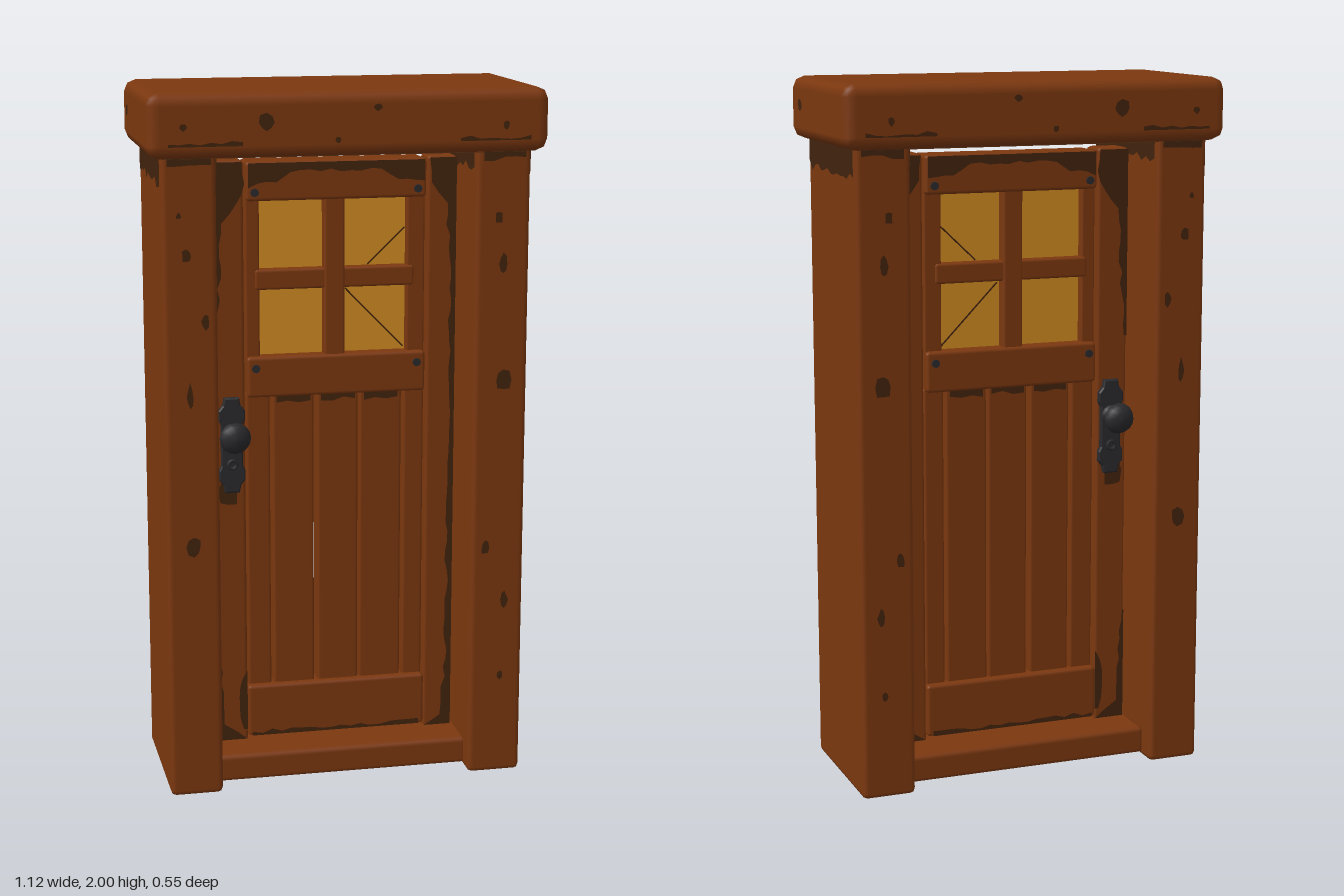
import * as THREE from 'three';
import { RoundedBoxGeometry } from 'three/addons/geometries/RoundedBoxGeometry.js';

export function createModel() {
  const root = new THREE.Group();
  root.name = 'woodenDoor';
  const mat = (name, color, side = THREE.FrontSide) => {
    const m = new THREE.MeshStandardMaterial({ color, side });
    m.name = name;
    return m;
  };
  const wood = mat('wood', 0x7c380f);
  const grime = mat('grime', 0x42230d, THREE.DoubleSide);
  const glass = mat('amberGlass', 0xd48c22);
  const iron = mat('iron', 0x2a2a2d);

  let seed = 7;
  const rand = () => (seed = (seed * 16807) % 2147483647) / 2147483647;

  function add(name, geometry, material, x = 0, y = 0, z = 0, parent = root) {
    const mesh = new THREE.Mesh(geometry, material);
    mesh.name = name;
    mesh.position.set(x, y, z);
    parent.add(mesh);
    return mesh;
  }
  // Worn timber given by its x and y limits, centred on z = 0
  function timber(name, x0, x1, y0, y1, halfZ, r, parent = root) {
    return add(name, new RoundedBoxGeometry(x1 - x0, y1 - y0, halfZ * 2, 1, r), wood,
      (x0 + x1) / 2, (y0 + y1) / 2, 0, parent);
  }
  // Irregular stain
  function blob(rx, ry) {
    const pts = [];
    for (let i = 0; i < 8; i++) {
      const a = (i / 8) * Math.PI * 2, k = 0.75 + rand() * 0.45;
      pts.push(new THREE.Vector2(Math.cos(a) * rx * k, Math.sin(a) * ry * k));
    }
    return new THREE.ShapeGeometry(new THREE.Shape(pts));
  }
  // Stain with one straight side on x = 0 and a ragged side; profile is [y, width]
  function edgeStain(profile, jitter = 0.012) {
    const pts = [new THREE.Vector2(0, profile[0][0])];
    for (let i = 0; i < profile.length - 1; i++) {
      const [y0, w0] = profile[i], [y1, w1] = profile[i + 1];
      const n = Math.max(1, Math.round(Math.abs(y1 - y0) / 0.03));
      for (let k = 0; k < n; k++) {
        const t = k / n;
        pts.push(new THREE.Vector2(Math.max(0.002, w0 + (w1 - w0) * t + (rand() - 0.5) * jitter), y0 + (y1 - y0) * t));
      }
    }
    const last = profile[profile.length - 1];
    pts.push(new THREE.Vector2(last[1], last[0]), new THREE.Vector2(0, last[0]));
    return new THREE.ShapeGeometry(new THREE.Shape(pts));
  }
  // The same stain on front and back
  function bothSides(name, geometry, x, y, z, flip = 1, parent = root) {
    for (const s of [1, -1]) add(name, geometry, grime, x, y, s * z, parent).scale.x = flip;
  }
  // Band hanging from a top edge
  const band = (w, d, jitter) => edgeStain([[-w / 2, d], [w / 2, d]], jitter).rotateZ(-Math.PI / 2);

  // Frame
  timber('leftPost', 0.36, 0.516, 0, 1.84, 0.226, 0.016);
  timber('rightPost', -0.516, -0.365, 0, 1.84, 0.226, 0.016);
  timber('lintel', -0.556, 0.556, 1.825, 2, 0.27, 0.034);
  timber('sill', -0.37, 0.37, 0.01, 0.09, 0.17, 0.014);

  // Dirt under the lintel and at the post tops
  add('lintelUnderside', new THREE.PlaneGeometry(1.02, 0.47).rotateX(Math.PI / 2), grime, 0, 1.823, 0);
  for (const s of [1, -1]) {
    for (const x of [0.518, 0.357]) {
      const m = add('postTopDirt', band(0.42, x > 0.5 ? 0.075 : 0.05, 0.03), grime, s * (s < 0 && x < 0.4 ? 0.362 : x), 1.826, 0);
      m.rotation.y = Math.PI / 2;
    }
    bothSides('postTopDirt', band(0.12, 0.02, 0.02), s * 0.44, 1.826, 0.228);
    bothSides('lintelEdgeDirt', band(0.2, 0.008, 0.014).rotateZ(Math.PI), s * 0.4, 1.859, 0.272);
  }

  // Scattered marks: x, y, half width, half height
  [[-0.45, 1.56, 0.014, 0.018], [-0.445, 1.17, 0.01, 0.034], [-0.44, 0.74, 0.02, 0.026],
   [-0.4, 1.38, 0.012, 0.024], [-0.47, 1.67, 0.007, 0.009], [0.425, 1.64, 0.012, 0.016],
   [0.445, 1.18, 0.024, 0.034], [0.4, 0.69, 0.012, 0.022], [0.46, 0.53, 0.01, 0.024],
   [0.45, 0.3, 0.01, 0.012], [0.44, 1.51, 0.012, 0.03]]
    .forEach(([x, y, w, h]) => bothSides('postMark', blob(w, h), x, y, 0.229));
  [[-0.46, 1.91, 0.009, 0.01], [-0.235, 1.92, 0.022, 0.024], [0.07, 1.955, 0.012, 0.01],
   [-0.04, 1.87, 0.009, 0.009], [0.43, 1.9, 0.009, 0.011]]
    .forEach(([x, y, w, h]) => bothSides('lintelMark', blob(w, h), x, y, 0.273));
  for (const s of [1, -1]) {
    const m = add('lintelEndMark', blob(0.02, 0.018), grime, s * 0.558, 1.92, s * 0.16);
    m.rotation.y = Math.PI / 2;
  }

  // Door leaf
  const door = new THREE.Group();
  door.name = 'door';
  root.add(door);
  timber('leftStile', 0.267, 0.352, 0.08, 1.795, 0.045, 0.01, door);
  timber('rightStile', -0.356, -0.262, 0.08, 1.795, 0.045, 0.01, door);
  timber('topRail', -0.256, 0.262, 1.68, 1.79, 0.055, 0.01, door);
  timber('middleRail', -0.256, 0.262, 1.12, 1.237, 0.055, 0.01, door);
  timber('bottomRail', -0.262, 0.267, 0.1, 0.255, 0.055, 0.01, door);
  for (const [a, b] of [[-0.257, -0.188], [-0.181, -0.06], [-0.05, 0.07], [0.074, 0.198], [0.204, 0.264]]) {
    timber('plank', a, b, 0.24, 1.13, 0.032, 0.008, door);
  }
  add('plankGapBacking', new THREE.BoxGeometry(0.02, 0.88, 0.01), grime, 0.072, 0.685, 0, door);

  // Four-pane window
  timber('windowSideBar', -0.257, -0.216, 1.22, 1.7, 0.036, 0.006, door);
  timber('windowSideBar', 0.21, 0.262, 1.22, 1.7, 0.036, 0.006, door);
  timber('windowMullion', -0.032, 0.028, 1.22, 1.7, 0.046, 0.008, door);
  timber('windowCrossBar', -0.23, 0.23, 1.427, 1.485, 0.042, 0.008, door);
  for (const x of [-0.124, 0.119]) for (const y of [1.335, 1.58]) {
    add('windowPane', new THREE.BoxGeometry(0.2, 0.22, 0.02), glass, x, y, 0, door);
  }
  // Cracks in the glass: x0, y0, x1, y1
  for (const [x0, y0, x1, y1] of [[0.035, 1.42, 0.205, 1.245], [0.1, 1.487, 0.208, 1.59]]) {
    const crack = new THREE.BoxGeometry(Math.hypot(x1 - x0, y1 - y0), 0.004, 0.024);
    add('glassCrack', crack, grime, (x0 + x1) / 2, (y0 + y1) / 2, 0, door).rotation.z = Math.atan2(y1 - y0, x1 - x0);
  }
  // Nail heads through the rails
  for (const x of [-0.232, 0.236]) for (const y of [1.205, 1.705]) {
    add('nail', new THREE.CylinderGeometry(0.012, 0.012, 0.122, 8).rotateX(Math.PI / 2), iron, x, y, 0, door);
  }

  // Door dirt
  bothSides('stileDirt', edgeStain([[1.79, 0.09], [1.7, 0.088], [1.62, 0.03], [1.25, 0.008]]), -0.354, 0, 0.047, 1, door);
  bothSides('stileDirt', edgeStain([[1.79, 0.082], [1.72, 0.075], [1.66, 0.025], [1.2, 0.012], [0.3, 0.018], [0.12, 0.03], [0.09, 0.08]]), 0.351, 0, 0.047, -1, door);
  bothSides('stileDirt', edgeStain([[0.42, 0.004], [0.24, 0.018], [0.14, 0.025], [0.09, 0.09]]), -0.354, 0, 0.047, 1, door);
  bothSides('stileDirt', edgeStain([[0.3, 0.004], [0.22, 0.026], [0.12, 0.012]]), -0.263, 0, 0.047, -1, door);
  bothSides('handleDirt', blob(0.034, 0.055), -0.315, 0.85, 0.047, 1, door);
  bothSides('topRailDirt', edgeStain([[-0.25, 0.065], [-0.17, 0.05], [-0.13, 0.025], [0.13, 0.025], [0.18, 0.05], [0.255, 0.06]], 0.01)
    .rotateZ(-Math.PI / 2), 0, 1.787, 0.057, 1, door);
  bothSides('bottomRailDirt', band(0.5, 0.012, 0.014).rotateZ(Math.PI), 0, 0.102, 0.057, 1, door);
  for (const x of [-0.12, 0.01, 0.136]) bothSides('plankDirt', band(0.1, 0.02, 0.016), x, 1.122, 0.034, 1, door);

  // Handle on each side: stepped back plate, knob and keyhole
  const half = [[0.018, 0.135], [0.022, 0.115], [0.034, 0.1], [0.034, 0.075], [0.027, 0.06]];
  const outline = [
    ...half, ...half.map(([x, y]) => [x, -y]).reverse(),
    ...half.map(([x, y]) => [-x, -y]), ...half.map(([x, y]) => [-x, y]).reverse(),
  ].map(([x, y]) => new THREE.Vector2(x, y));
  const plate = new THREE.ExtrudeGeometry(new THREE.Shape(outline), { depth: 0.012, bevelSize: 0.004, bevelThickness: 0.004, bevelSegments: 1 });
  const knob = new THREE.LatheGeometry(
    [[0.03, 0], [0.028, 0.01], [0.015, 0.016], [0.015, 0.034], [0.036, 0.042], [0.045, 0.058], [0.038, 0.076], [0.02, 0.086], [0, 0.088]]
      .map(([x, y]) => new THREE.Vector2(x, y)), 16).rotateX(Math.PI / 2);
  for (const s of [1, -1]) {
    const handle = new THREE.Group();
    handle.name = s > 0 ? 'frontHandle' : 'backHandle';
    handle.position.set(-0.303, 0.985, s * 0.044);
    if (s < 0) handle.rotation.y = Math.PI;
    door.add(handle);
    add('handlePlate', plate, iron, 0, 0, 0, handle);
    add('knob', knob, iron, 0, 0.035, 0.014, handle);
    add('keyholeRing', new THREE.TorusGeometry(0.012, 0.005, 6, 12), iron, 0, -0.055, 0.017, handle);
  }
  return root;
}
